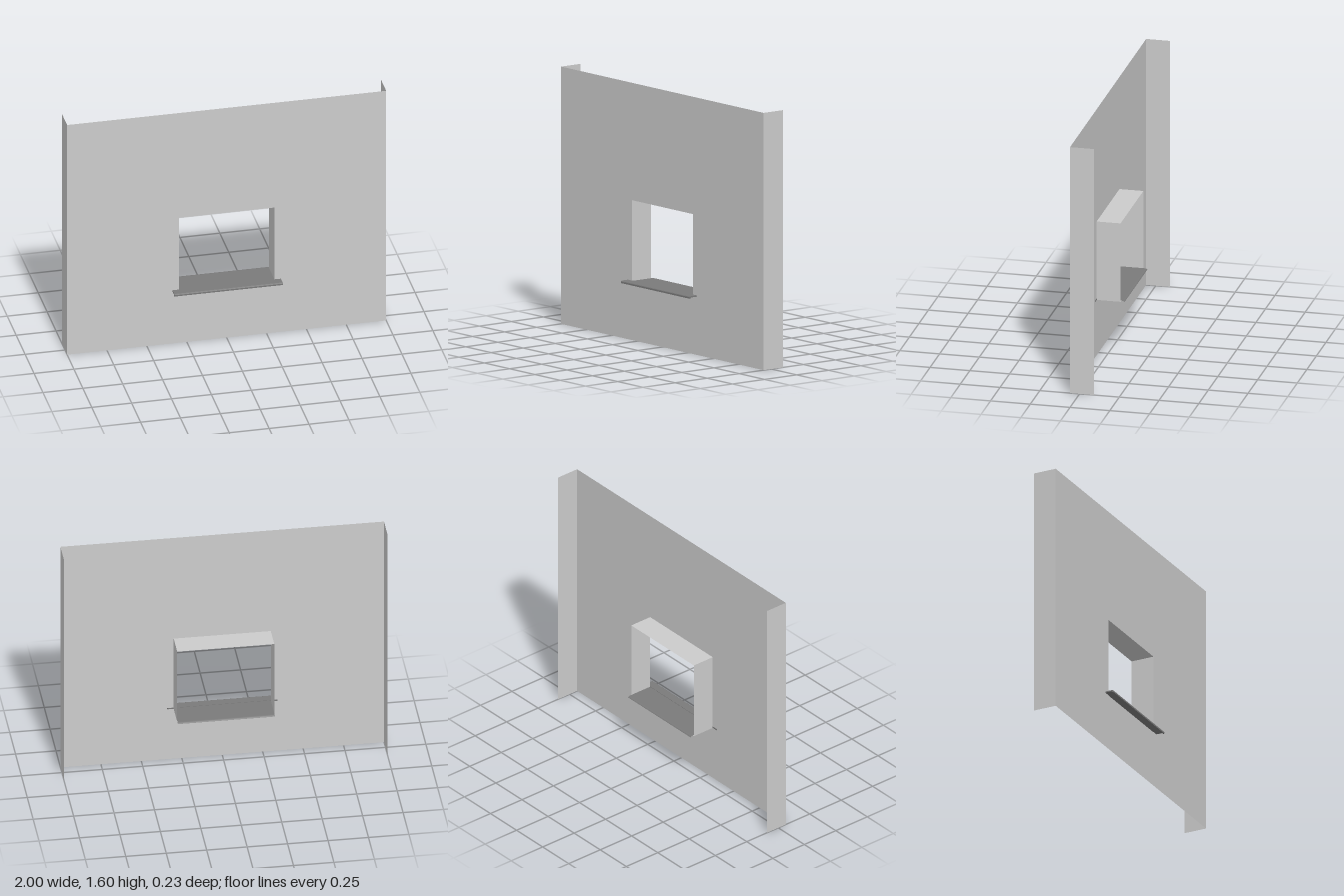
import * as THREE from 'three';

const FRONT = 0.06, BACK = -0.09;          // depth of wall face and returns
const W = 1, H = 1.6;                      // half width and height of wall
const OX = 0.3, OY0 = 0.36, OY1 = 0.87;    // window opening

const wallMat = new THREE.MeshStandardMaterial({ color: 0xcccccc, side: THREE.DoubleSide });
const sillMat = new THREE.MeshStandardMaterial({ color: 0x7a7a7a, side: THREE.DoubleSide });

function add(parent, name, geometry, material) {
  const mesh = new THREE.Mesh(geometry, material);
  mesh.name = name;
  parent.add(mesh);
  return mesh;
}

// Flat return running back from the wall face, at angle 'roll' about z
function addReturn(parent, name, length, x, y, horizontal) {
  const g = new THREE.PlaneGeometry(FRONT - BACK, length);
  g.rotateY(Math.PI / 2);
  if (horizontal) g.rotateZ(Math.PI / 2);
  g.translate(x, y, (FRONT + BACK) / 2);
  return add(parent, name, g, wallMat);
}

// Extrudes a (z, y) profile along x, centred
function extrudeAlongX(points, width) {
  const shape = new THREE.Shape(points.map(([z, y]) => new THREE.Vector2(-z, y)));
  const g = new THREE.ExtrudeGeometry(shape, { depth: width, bevelEnabled: false });
  g.translate(0, 0, -width / 2);
  g.rotateY(Math.PI / 2);
  return g;
}

export function createModel() {
  const model = new THREE.Group();
  model.name = 'wallWithWindow';

  // Wall face with window opening
  const face = new THREE.Shape([[-W, 0], [W, 0], [W, H], [-W, H]].map(p => new THREE.Vector2(...p)));
  face.holes.push(new THREE.Path(
    [[-OX, OY0], [-OX, OY1], [OX, OY1], [OX, OY0]].map(p => new THREE.Vector2(...p))));
  add(model, 'wallFace', new THREE.ShapeGeometry(face).translate(0, 0, FRONT), wallMat);

  // Wall ends and window reveal sides
  const reveal = new THREE.Group();
  reveal.name = 'windowReveal';
  model.add(reveal);
  for (const [side, s] of [['left', 1], ['right', -1]]) {
    addReturn(model, side + 'WallEnd', H, s * W, H / 2, false);
    addReturn(reveal, side + 'Reveal', OY1 - OY0, s * OX, (OY0 + OY1) / 2, false);
  }
  addReturn(reveal, 'topReveal', OX * 2, 0, OY1, true);
  addReturn(reveal, 'bottomReveal', OX * 2, 0, OY0, true);

  // Projecting sill nose with a rounded, turned-down lip
  const sill = new THREE.Group();
  sill.name = 'windowSill';
  model.add(sill);
  add(sill, 'sillNose', extrudeAlongX([
    [0.058, 0.362], [0.106, 0.362], [0.107, 0.355], [0.115, 0.355],
    [0.115, 0.364], [0.113, 0.368], [0.109, 0.37], [0.058, 0.37],
  ], 0.68), sillMat);

  // Thin sill sheet through the opening, curling down at the back
  const profile = [[0.06, 0.368], [-0.1, 0.368], [-0.108, 0.367], [-0.113, 0.364], [-0.115, 0.36]];
  const sheet = new THREE.PlaneGeometry(OX * 2, 1, 1, profile.length - 1);
  const pos = sheet.attributes.position;
  for (let i = 0; i < pos.count; i++) {
    const [z, y] = profile[profile.length - 1 - Math.floor(i / 2)];
    pos.setXYZ(i, pos.getX(i), y, z);
  }
  sheet.computeVertexNormals();
  add(sill, 'sillSheet', sheet, sillMat);

  return model;
}
